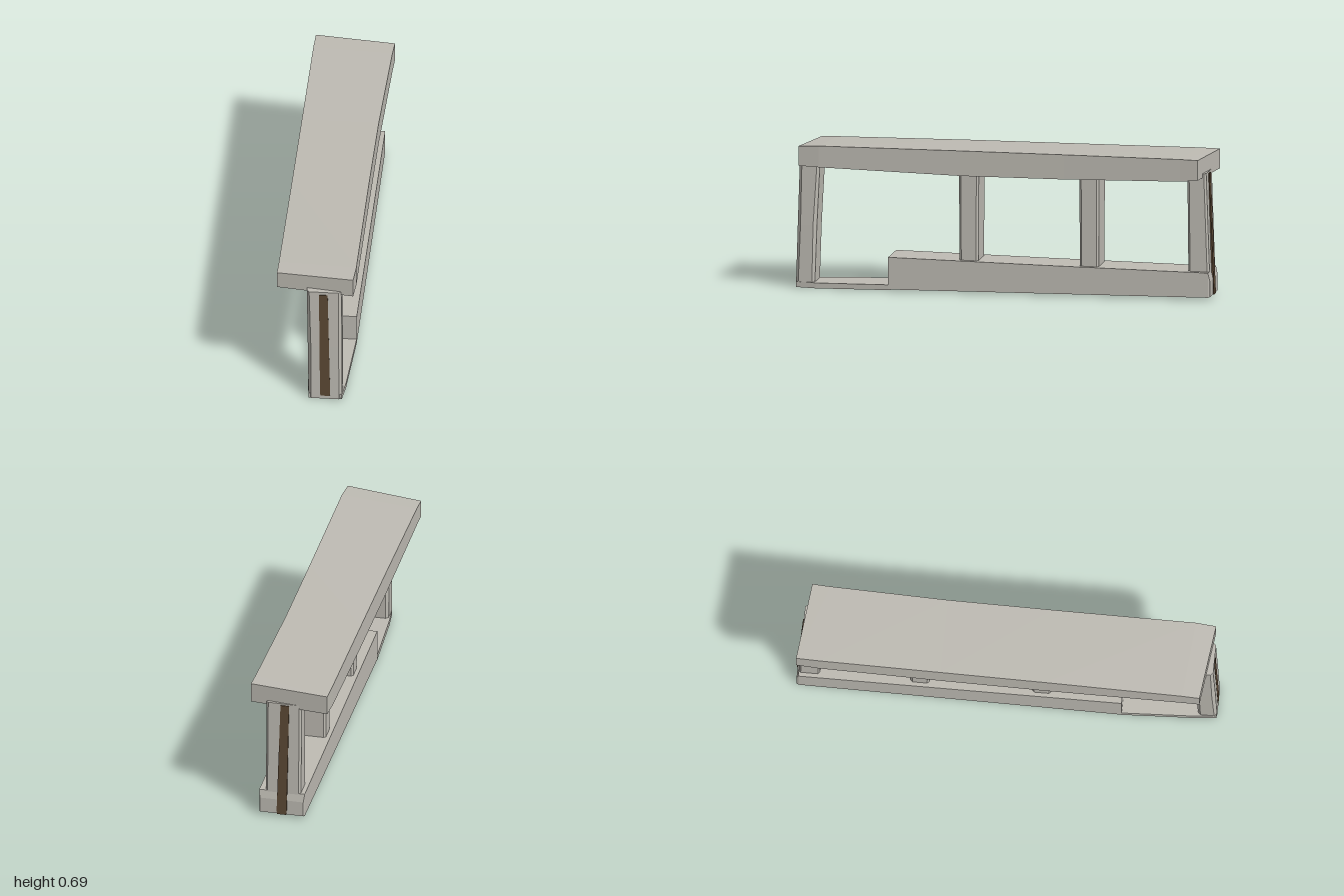
import * as THREE from 'three';

// Solid lofted through rings of equal point count, closed with end caps, faceted
function loft(rings) {
  const tris = [];
  const n = rings[0].length, last = rings[rings.length - 1];
  for (let r = 0; r + 1 < rings.length; r++) {
    for (let i = 0; i < n; i++) {
      const j = (i + 1) % n, a = rings[r], b = rings[r + 1];
      tris.push([a[i], a[j], b[j]], [a[i], b[j], b[i]]);
    }
  }
  for (let i = 1; i + 1 < n; i++) {
    tris.push([rings[0][0], rings[0][i + 1], rings[0][i]], [last[0], last[i], last[i + 1]]);
  }
  // turn the faces outward whichever way the rings were listed
  const v = (p) => new THREE.Vector3(...p);
  const volume = tris.reduce((s, [a, b, c]) => s + v(a).dot(v(b).cross(v(c))), 0);
  const pos = tris.flatMap(([a, b, c]) => (volume < 0 ? [a, c, b] : [a, b, c])).flat();
  const geo = new THREE.BufferGeometry();
  geo.setAttribute('position', new THREE.Float32BufferAttribute(pos, 3));
  geo.computeVertexNormals();
  return geo;
}

// Four-sided section across z; the two sides may sit at different z
const section = ([xl, xr, yb, ytl, ytr, zl, zr]) => [
  [xl, yb, zl], [xr, yb, zr], [xr, ytr, zr], [xl, ytl, zl],
];

// Horizontal post section with bevelled corners
function postRing(y, x0, x1, z0, z1, c) {
  return [
    [x0 + c, y, z0], [x1 - c, y, z0], [x1, y, z0 + c], [x1, y, z1 - c],
    [x1 - c, y, z1], [x0 + c, y, z1], [x0, y, z1 - c], [x0, y, z0 + c],
  ];
}

export function createModel() {
  const model = new THREE.Group();
  const stone = new THREE.MeshStandardMaterial({ color: 0xbebbb3 });
  stone.name = 'stone grey';
  const bronze = new THREE.MeshStandardMaterial({ color: 0x5b4834 });
  bronze.name = 'dark brown';

  const add = (name, geo, mat) => {
    const mesh = new THREE.Mesh(geo, mat);
    mesh.name = name;
    model.add(mesh);
    return mesh;
  };

  // Long top beam with slightly skewed ends and a sagging underside
  add('topBeam', loft([
    [-0.2, 0.165, 0.592, 0.675, 0.686, 0.932, 0.976],
    [-0.198, 0.172, 0.588, 0.678, 0.69, 0.85, 0.88],
    [-0.193, 0.172, 0.566, 0.68, 0.686, 0.2, 0.2],
    [-0.19, 0.175, 0.564, 0.678, 0.682, -0.3, -0.3],
    [-0.187, 0.19, 0.572, 0.676, 0.678, -0.88, -0.86],
    [-0.184, 0.195, 0.58, 0.674, 0.676, -0.985, -0.945],
  ].map(section)), stone);

  // Thick lower beam, stopping short of the front
  add('lowerBeam', loft([
    [-0.075, 0.145, 0.008, 0.162, 0.162, 0.55, 0.55],
    [-0.075, 0.145, 0.01, 0.145, 0.145, -0.2, -0.2],
    [-0.075, 0.145, 0.012, 0.13, 0.13, -0.985, -0.985],
    [-0.07, 0.14, 0.015, 0.09, 0.09, -0.994, -0.994],
  ].map(section)), stone);

  // Thin sill joining the lower beam to the front post
  add('frontSill', loft([
    [-0.045, 0.113, 0.002, 0.028, 0.028, 0.997, 0.997],
    [-0.055, 0.125, 0, 0.026, 0.026, 0.9, 0.9],
    [-0.075, 0.145, 0.005, 0.03, 0.03, 0.54, 0.54],
  ].map(section)), stone);

  // End posts lean inward towards the top
  add('frontPost', loft([
    postRing(0.003, -0.045, 0.113, 0.91, 1, 0.012),
    postRing(0.3, -0.05, 0.113, 0.9, 0.992, 0.016),
    postRing(0.61, -0.055, 0.108, 0.885, 0.982, 0.012),
  ]), stone);
  add('backPost', loft([
    postRing(0.1, -0.055, 0.115, -0.987, -0.885, 0.01),
    postRing(0.6, -0.055, 0.115, -0.97, -0.88, 0.01),
  ]), stone);

  // Two middle posts
  for (const [name, z] of [['middlePostFront', 0.168], ['middlePostBack', -0.41]]) {
    add(name, loft([
      postRing(0.12, -0.055, 0.118, z - 0.045, z + 0.045, 0.01),
      postRing(0.59, -0.055, 0.118, z - 0.047, z + 0.048, 0.01),
    ]), stone);
  }

  // Thin inlaid strips down both ends
  const strip = (y0, y1, z0, z1, d) => loft([[y0, 0.012, 0.056, z0], [y0 + 0.02, 0.01, 0.058, z0 + (z1 - z0) * 0.03],
    [y1, 0.004, 0.045, z1]].map(([y, xl, xr, z]) => [[xl, y, z], [xr, y, z], [xr, y, z - d], [xl, y, z - d]]));
  add('frontStrip', strip(0.02, 0.595, 1.001, 0.985, 0.008), bronze);
  add('backStrip', strip(0.015, 0.592, -1, -0.974, -0.008), bronze);

  // Small knob hanging under the beam
  add('hangingKnob', new THREE.CylinderGeometry(0.011, 0.016, 0.032, 12), bronze)
    .position.set(-0.115, 0.574, 0.73);

  // Small peg with a wider head on the side of a middle post
  const peg = new THREE.Group();
  peg.name = 'sidePeg';
  for (const [name, radius, length, x] of [['pegShaft', 0.012, 0.035, -0.066], ['pegHead', 0.019, 0.013, -0.082]]) {
    const mesh = new THREE.Mesh(new THREE.CylinderGeometry(radius, radius, length, 12), bronze);
    mesh.name = name;
    mesh.rotation.z = Math.PI / 2;
    mesh.position.set(x, 0.525, 0.168);
    peg.add(mesh);
  }
  model.add(peg);

  return model;
}
